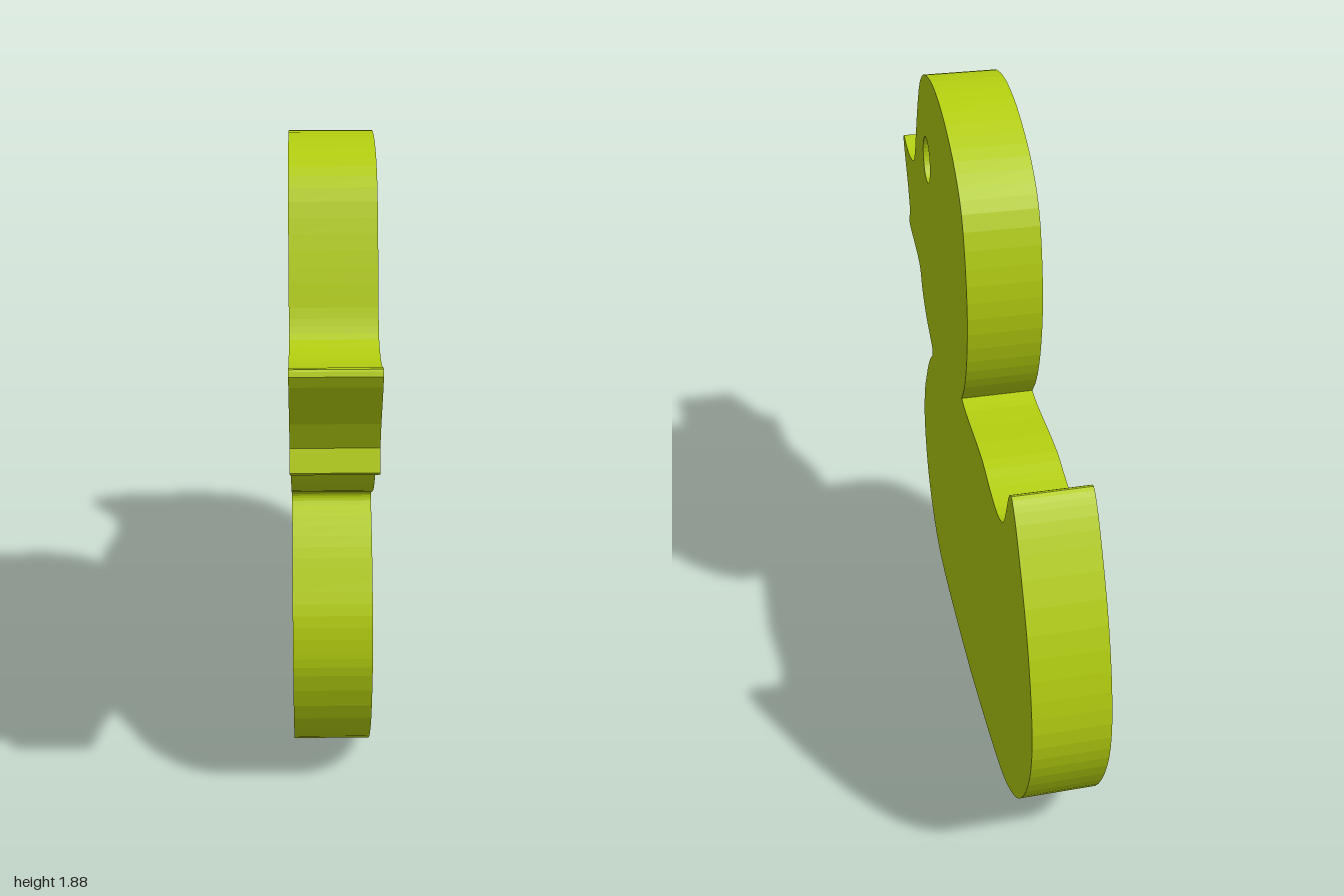
import * as THREE from 'three';

// Side outline as (z, y) points: smooth runs that meet at sharp corners
const head = [[1, 1.46], [0.99, 1.475], [0.93, 1.457], [0.86, 1.45], [0.78, 1.468], [0.745, 1.51], [0.71, 1.59],
  [0.66, 1.70], [0.60, 1.80], [0.52, 1.855], [0.39, 1.88], [0.25, 1.865], [0.11, 1.815], [0, 1.75],
  [-0.08, 1.665], [-0.13, 1.52], [-0.148, 1.37], [-0.13, 1.22], [-0.09, 1.11], [-0.04, 1.04]];
const backAndTail = [[-0.04, 1.04], [-0.1, 1.03], [-0.35, 1.025], [-0.45, 1.0], [-0.56, 0.987], [-0.63, 1.015],
  [-0.67, 1.09], [-0.70, 1.155], [-0.725, 1.17], [-0.76, 1.14], [-0.82, 1.05], [-0.92, 0.86], [-0.98, 0.68],
  [-1, 0.53], [-0.98, 0.40], [-0.91, 0.25], [-0.82, 0.145], [-0.70, 0.07], [-0.60, 0.04], [-0.40, 0.015], [-0.13, 0]];
const bellyAndChin = [[-0.13, 0], [0.1, 0.01], [0.35, 0.035], [0.48, 0.07], [0.59, 0.15], [0.68, 0.28], [0.72, 0.45],
  [0.715, 0.53], [0.69, 0.625], [0.64, 0.71], [0.59, 0.785], [0.53, 0.85], [0.495, 0.88], [0.492, 0.90],
  [0.52, 0.92], [0.61, 0.97], [0.68, 1.04], [0.71, 1.10], [0.77, 1.13], [0.87, 1.155], [0.92, 1.17], [0.93, 1.18]];
const beakMouth = [[0.93, 1.18], [0.905, 1.235], [0.93, 1.31], [0.99, 1.43]];

const smooth = (pts) => new THREE.CatmullRomCurve3(pts.map(([z, y]) => new THREE.Vector3(z, y, 0)))
  .getPoints((pts.length - 1) * 3).slice(0, -1).map((p) => new THREE.Vector2(p.x, p.y));

export function createModel() {
  const group = new THREE.Group();
  const thickness = 0.22;

  const outline = new THREE.Shape([
    ...smooth(head), ...smooth(backAndTail), ...smooth(bellyAndChin),
    ...beakMouth.map(([z, y]) => new THREE.Vector2(z, y)),
  ]);

  // Eye: an oval hole right through the head
  const eye = new THREE.EllipseCurve(0.505, 1.585, 0.062, 0.074, 0, Math.PI * 2);
  outline.holes.push(new THREE.Path(eye.getPoints(32).slice(0, -1)));

  // Flat slab, turned so the beak points to +z
  const geometry = new THREE.ExtrudeGeometry(outline, { depth: thickness, bevelEnabled: false });
  geometry.translate(0, 0, -thickness / 2);
  geometry.rotateY(-Math.PI / 2);

  const duck = new THREE.Mesh(geometry, new THREE.MeshStandardMaterial({ color: 0xb5d010 }));
  duck.name = 'duckBody';
  group.add(duck);
  return group;
}
